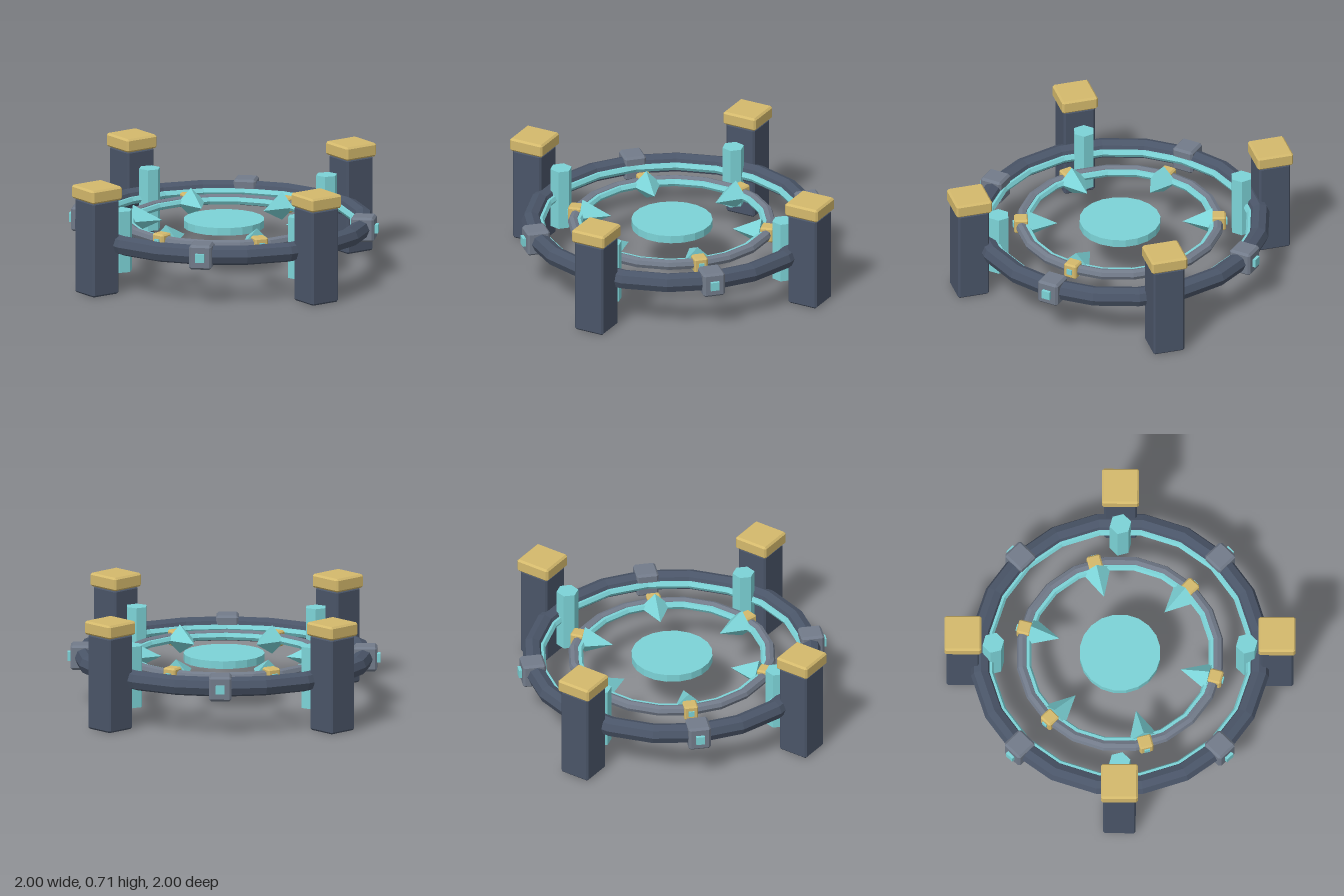
import * as THREE from 'three';
import { ConvexGeometry } from 'three/addons/geometries/ConvexGeometry.js';

const material = (name, color) => {
  const m = new THREE.MeshStandardMaterial({ color, flatShading: true });
  m.name = name;
  return m;
};

// Box with flat chamfered edges
function chamferBox(w, h, d, c) {
  const pts = [];
  for (const x of [-w / 2, w / 2]) for (const y of [-h / 2, h / 2]) for (const z of [-d / 2, d / 2]) {
    const ix = x - Math.sign(x) * c, iy = y - Math.sign(y) * c, iz = z - Math.sign(z) * c;
    pts.push(new THREE.Vector3(x, iy, iz), new THREE.Vector3(ix, y, iz), new THREE.Vector3(ix, iy, z));
  }
  return new ConvexGeometry(pts);
}

export function createModel() {
  const slate = material('slate', 0x4a5568);
  const grey = material('grey', 0x727b8a);
  const gold = material('gold', 0xd4b96c);
  const cyan = material('cyan', 0x7cd3d7);
  const model = new THREE.Group();
  model.name = 'ringPlatform';
  const MID = 0.32; // height of the rings

  const add = (parent, name, geometry, mat, x = 0, y = 0, z = 0) => {
    const mesh = new THREE.Mesh(geometry, mat);
    mesh.name = name;
    mesh.position.set(x, y, z);
    parent.add(mesh);
    return mesh;
  };

  // Group turned about the vertical axis; its +x points outward
  const spoke = (name, angle) => {
    const g = new THREE.Group();
    g.name = name;
    g.rotation.y = angle;
    model.add(g);
    return g;
  };

  // Horizontal rings, each with a glowing inner band
  const ring = (name, radius, tube, sides, mat) =>
    add(model, name, new THREE.TorusGeometry(radius, tube, sides, 20).rotateX(Math.PI / 2), mat, 0, MID, 0);
  ring('outerRing', 0.9, 0.064, 8, slate);
  ring('outerGlowBand', 0.842, 0.026, 6, cyan);
  ring('innerRing', 0.632, 0.035, 8, grey);
  ring('innerGlowBand', 0.597, 0.024, 6, cyan);

  // Central disc
  add(model, 'centreDisc', new THREE.CylinderGeometry(0.26, 0.26, 0.05, 20), cyan, 0, MID, 0);

  // Pillars with gold caps on the diagonals, crystal columns inside them
  const pillarGeo = chamferBox(0.208, 0.62, 0.208, 0.012);
  const capGeo = chamferBox(0.238, 0.088, 0.238, 0.012);
  const crystalGeo = new THREE.CylinderGeometry(0.071, 0.071, 0.4, 6);
  for (let i = 0; i < 4; i++) {
    const angle = Math.PI / 4 + i * Math.PI / 2;
    const g = spoke('pillarGroup', angle);
    add(g, 'pillar', pillarGeo, slate, 1.004, 0.31, 0);
    add(g, 'pillarCap', capGeo, gold, 1.004, 0.662, 0);
    add(g, 'crystalColumn', crystalGeo, cyan, 0.81, MID, 0).rotation.y = -angle;
  }

  // Grey clamps with outer gems on the four axes
  const clampGeo = chamferBox(0.15, 0.16, 0.144, 0.014);
  const gemGeo = new THREE.BoxGeometry(0.04, 0.056, 0.056);
  for (let i = 0; i < 4; i++) {
    const g = spoke('clampGroup', i * Math.PI / 2);
    add(g, 'clamp', clampGeo, grey, 0.905, MID, 0);
    add(g, 'clampGem', gemGeo, cyan, 0.98, MID, 0);
  }

  // Gold brackets on the inner ring, with gems and inward spikes
  const bracketGeo = chamferBox(0.09, 0.1, 0.09, 0.01);
  const smallGemGeo = new THREE.BoxGeometry(0.03, 0.036, 0.036);
  const spikeGeo = new THREE.ConeGeometry(0.094, 0.19, 4).rotateZ(Math.PI / 2)
    .rotateX(0);
  for (let i = 0; i < 6; i++) {
    const g = spoke('bracketGroup', i * Math.PI / 3);
    add(g, 'bracket', bracketGeo, gold, 0.632, MID, 0);
    add(g, 'bracketGem', smallGemGeo, cyan, 0.671, MID, 0);
    add(g, 'spike', spikeGeo, cyan, 0.495, MID, 0);
  }

  return model;
}
